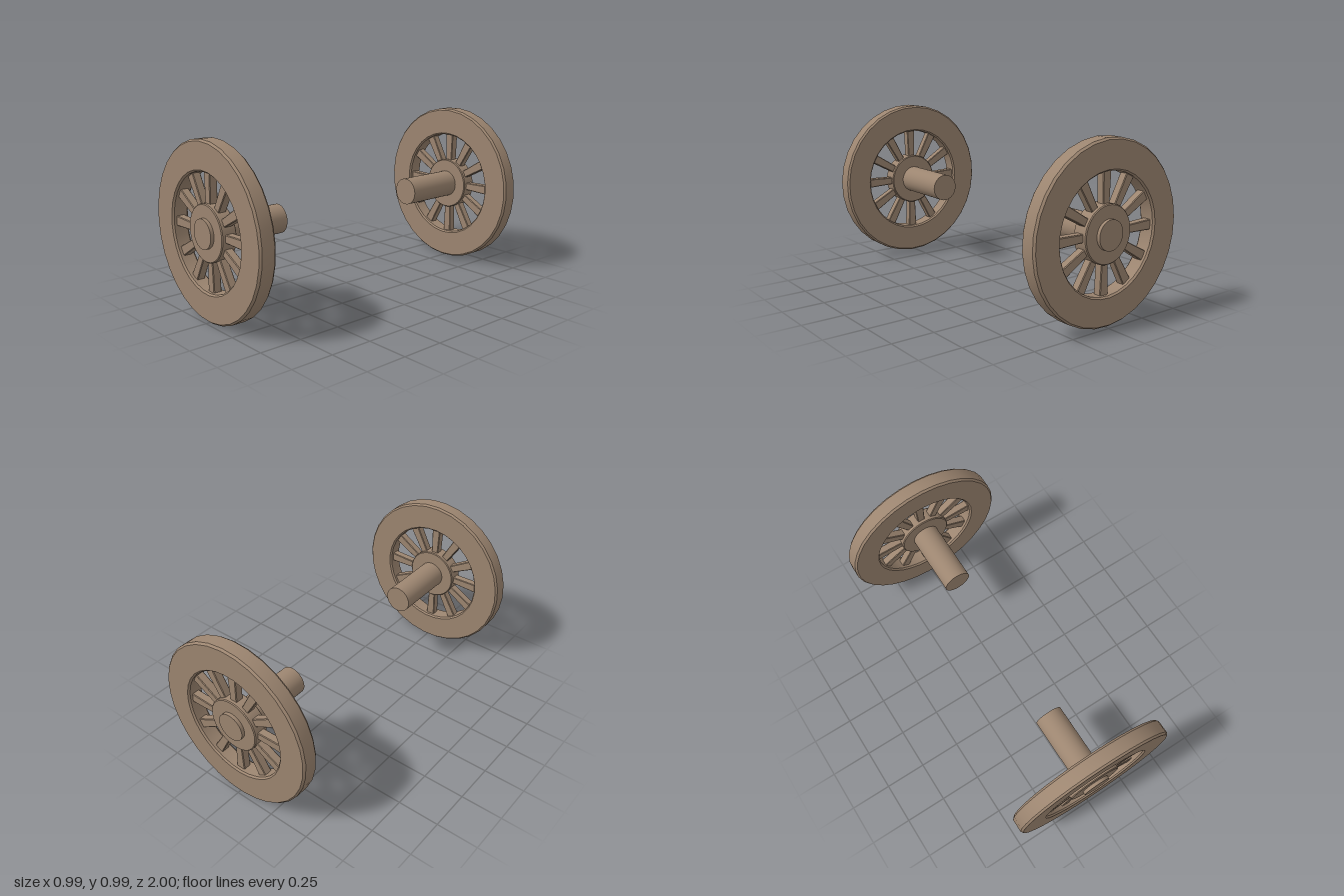
import * as THREE from 'three';
import { toCreasedNormals } from 'three/addons/utils/BufferGeometryUtils.js';

const WHEEL_Z = 0.935; // middle plane of each wheel
const wood = new THREE.MeshStandardMaterial({ color: 0x9c8570 });

// Turned part about the z axis from [radius, z] points, sharp at the profile corners
function turned(name, profile, sides = 32, phase = 0) {
  const points = profile.map(([r, z]) => new THREE.Vector2(r, z));
  const lathe = new THREE.LatheGeometry(points, sides, phase).rotateX(Math.PI / 2);
  const mesh = new THREE.Mesh(toCreasedNormals(lathe, 0.5), wood);
  mesh.name = name;
  return mesh;
}

// Tapered spoke with softened edges, pointing up from the hub to the rim
function spokeGeometry() {
  const bevel = 0.004, depth = 0.048;
  const shape = new THREE.Shape([
    new THREE.Vector2(-0.018, 0.14),
    new THREE.Vector2(0.018, 0.14),
    new THREE.Vector2(0.025, 0.345),
    new THREE.Vector2(-0.025, 0.345),
  ]);
  return new THREE.ExtrudeGeometry(shape, {
    depth: depth - 2 * bevel,
    bevelThickness: bevel,
    bevelSize: bevel,
    bevelSegments: 1,
  }).translate(0, 0, bevel - depth / 2);
}

function createWheel(name) {
  const wheel = new THREE.Group();
  wheel.name = name;

  // Broad rim with chamfered outer and inner edges
  const rim = turned('rim', [
    [0.498, -0.038], [0.498, 0.038], [0.488, 0.05], [0.338, 0.05],
    [0.329, 0.04], [0.329, -0.04], [0.338, -0.05], [0.488, -0.05], [0.498, -0.038],
  ], 32, Math.PI / 64);

  // Round hub with a fine chamfer
  const hub = turned('hub', [
    [0, -0.045], [0.155, -0.045], [0.16, -0.04],
    [0.16, 0.04], [0.155, 0.045], [0, 0.045],
  ], 48);

  // Stub axle, slightly proud outside and long towards the middle
  const axle = turned('axle', [
    [0, 0.505 - WHEEL_Z], [0.083, 0.505 - WHEEL_Z],
    [0.083, 1 - WHEEL_Z], [0, 1 - WHEEL_Z],
  ], 40);
  wheel.add(rim, hub, axle);

  // Twelve spokes
  const geometry = spokeGeometry();
  for (let i = 0; i < 12; i++) {
    const spoke = new THREE.Mesh(geometry, wood);
    spoke.name = 'spoke';
    spoke.rotation.z = (i * Math.PI) / 6;
    wheel.add(spoke);
  }
  return wheel;
}

export function createModel() {
  const model = new THREE.Group();
  model.name = 'wheelPair';
  const front = createWheel('frontWheel');
  front.position.set(0, 0.498, WHEEL_Z);
  const back = createWheel('backWheel');
  back.position.set(0, 0.498, -WHEEL_Z);
  back.rotation.y = Math.PI;
  model.add(front, back);
  return model;
}
